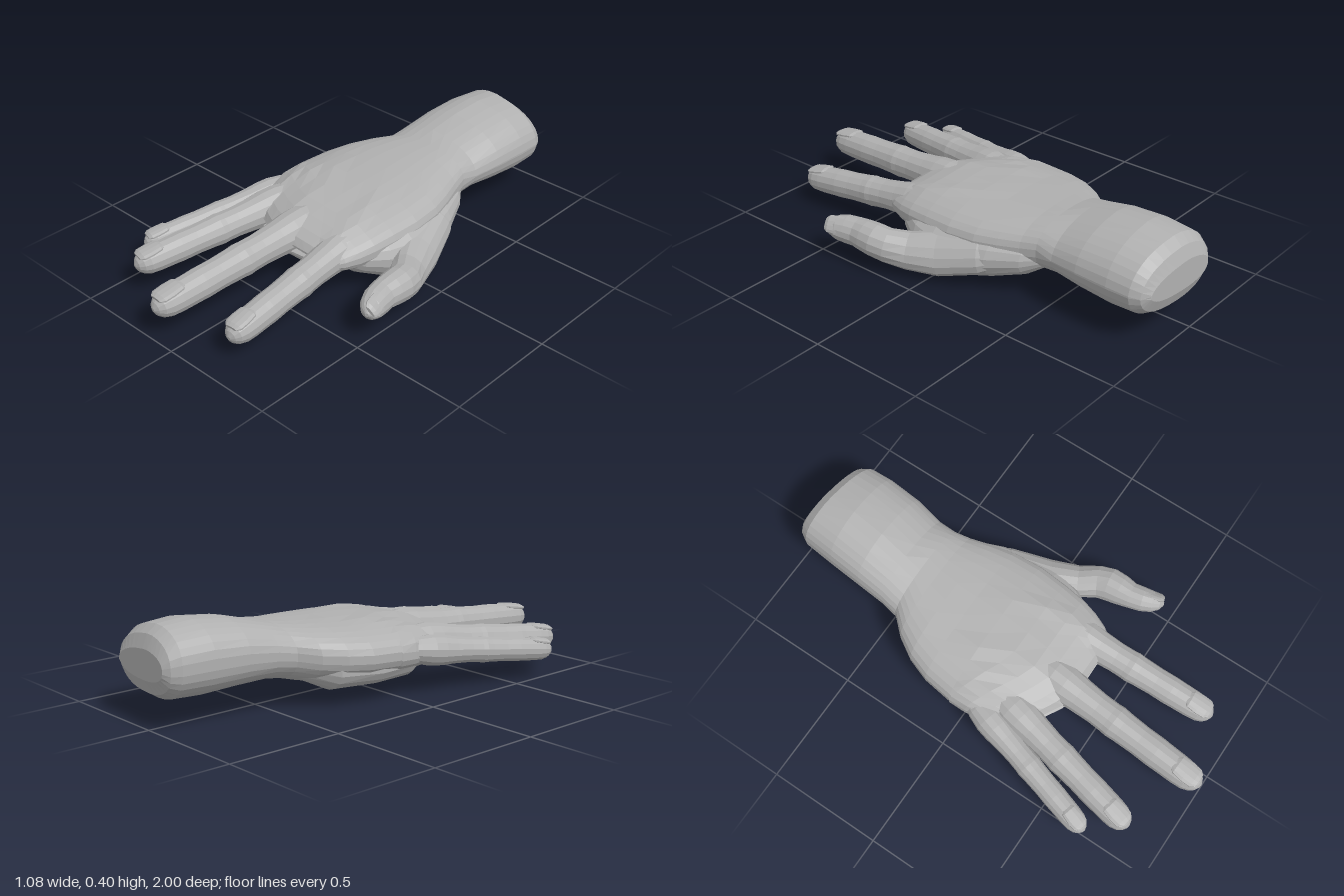
import * as THREE from 'three';

const skin = new THREE.MeshStandardMaterial({ color: 0xb0b0b0 });
skin.name = 'grey skin';
const UP = new THREE.Vector3(0, 1, 0);

// Faceted skin over cross-sections [x, y, z, half width, half height]
function loft(name, rows, { sides = 14, up = UP, power = 2, straight = false, warp } = {}) {
  const pos = [], index = [];
  const centres = rows.map(r => new THREE.Vector3(r[0], r[1], r[2]));
  rows.forEach(([, , , w, h], i) => {
    const t = straight ? new THREE.Vector3(0, 0, 1)
      : centres[Math.min(i + 1, rows.length - 1)].clone().sub(centres[Math.max(i - 1, 0)]).normalize();
    const side = up.clone().cross(t).normalize();
    const top = t.clone().cross(side);
    for (let j = 0; j < sides; j++) {
      const a = (j + 0.5) / sides * Math.PI * 2, c = Math.cos(a), s = Math.sin(a);
      const p = centres[i].clone()
        .addScaledVector(side, w * Math.sign(c) * Math.abs(c) ** (2 / power))
        .addScaledVector(top, h * Math.sign(s) * Math.abs(s) ** (2 / power));
      if (warp) warp(p);
      pos.push(p.x, p.y, p.z);
    }
  });
  const n = rows.length;
  for (let i = 0; i < n - 1; i++) for (let j = 0; j < sides; j++) {
    const a = i * sides + j, b = i * sides + (j + 1) % sides;
    index.push(a, b, a + sides, b, b + sides, a + sides);
  }
  // Close both ends
  for (let j = 1; j < sides - 1; j++) {
    const e = (n - 1) * sides;
    index.push(0, j + 1, j, e, e + j, e + j + 1);
  }
  const indexed = new THREE.BufferGeometry();
  indexed.setAttribute('position', new THREE.Float32BufferAttribute(pos, 3));
  indexed.setIndex(index);
  const geo = indexed.toNonIndexed();
  geo.computeVertexNormals();
  const mesh = new THREE.Mesh(geo, skin);
  mesh.name = name;
  return mesh;
}

// Slim domed nail between two points
function nail(name, a, b, width, up) {
  const steps = [[0, 0.6, 0.5], [0.12, 0.9, 1], [0.5, 1, 1], [0.85, 0.95, 1], [1, 0.65, 0.5]];
  return loft(name, steps.map(([t, w, h]) => {
    const p = a.clone().lerp(b, t);
    return [p.x, p.y, p.z, width * w, 0.013 * h];
  }), { sides: 12, up });
}

// Position along finger, thickness: knuckle, two joints, rounded tip
const FINGER = [[0, 0.75], [0.08, 1.1], [0.17, 1.28], [0.24, 1.25], [0.32, 1.12], [0.42, 1.03], [0.49, 1.04],
  [0.52, 1.08], [0.56, 1.03], [0.66, 0.98], [0.75, 1], [0.78, 0.98], [0.88, 0.95], [0.93, 0.89],
  [0.965, 0.72], [0.988, 0.45], [1, 0.12]];

function finger(name, base, tip, r) {
  const a = new THREE.Vector3(...base), b = new THREE.Vector3(...tip);
  const group = new THREE.Group();
  group.name = name;
  group.add(loft(name + 'Flesh', FINGER.map(([t, s]) => {
    const p = a.clone().lerp(b, t);
    return [p.x, p.y, p.z, r * s, r * s];
  })));
  const from = a.clone().lerp(b, 0.85), to = a.clone().lerp(b, 0.982);
  from.y += r * 0.83;
  to.y += r * 0.64;
  group.add(nail(name + 'Nail', from, to, r * 0.72, UP));
  return group;
}

export function createModel() {
  const hand = new THREE.Group();
  hand.name = 'hand';

  // Forearm, wrist and palm: z, right edge, left edge, bottom, top
  const body = [
    [-0.982, -0.1, 0.24, 0.185, 0.31], [-0.96, -0.128, 0.272, 0.13, 0.365], [-0.92, -0.15, 0.29, 0.105, 0.397],
    [-0.8, -0.165, 0.292, 0.1, 0.407], [-0.65, -0.178, 0.28, 0.11, 0.39], [-0.52, -0.187, 0.255, 0.118, 0.357],
    [-0.44, -0.2, 0.248, 0.11, 0.337], [-0.37, -0.265, 0.265, 0.095, 0.33], [-0.28, -0.32, 0.295, 0.085, 0.325],
    [-0.18, -0.355, 0.32, 0.078, 0.318], [-0.05, -0.373, 0.33, 0.075, 0.312], [0.08, -0.376, 0.32, 0.075, 0.303],
    [0.18, -0.375, 0.307, 0.078, 0.29], [0.25, -0.365, 0.288, 0.085, 0.272], [0.31, -0.345, 0.262, 0.1, 0.25],
    [0.35, -0.32, 0.235, 0.122, 0.225], [0.37, -0.29, 0.21, 0.15, 0.195],
  ];
  const tendons = [[-0.36, -0.05], [-0.27, -0.02], [-0.05, 0.03], [0.18, 0.08]];
  hand.add(loft('forearmAndPalm', body.map(([z, l, r, b, t]) =>
    [(l + r) / 2, (b + t) / 2, z, (r - l) / 2, (t - b) / 2]), {
    sides: 32, power: 2.4, straight: true,
    warp(p) {
      const front = THREE.MathUtils.smoothstep(p.z, -0.25, 0.2);
      // Tendons fan out over the back of the hand
      if (p.y > 0.22) for (const [x1, x0] of tendons) {
        const d = (p.x - THREE.MathUtils.lerp(x0, x1, front)) / 0.04;
        p.y += 0.012 * front * Math.exp(-d * d);
      }
      // Forearm slopes down on the thumb side
      if (p.z < -0.5 && p.y > 0.25) p.y -= 0.13 * Math.max(0, p.x - 0.02);
      // Slanted cut end, and knuckles stepping back towards the little finger
      if (p.z < -0.85) p.z += 0.09 * (p.x - 0.08);
      if (p.z > 0) p.z -= front * 0.55 * Math.max(0, -p.x - 0.1);
    },
  }));

  // Fleshy pads under the palm
  hand.add(loft('thumbPad', [
    [0.19, 0.18, -0.46, 0.03, 0.03], [0.2, 0.165, -0.38, 0.08, 0.07], [0.215, 0.145, -0.25, 0.125, 0.095],
    [0.23, 0.122, -0.1, 0.15, 0.114], [0.235, 0.118, 0.01, 0.15, 0.117], [0.225, 0.13, 0.12, 0.125, 0.1],
    [0.2, 0.15, 0.22, 0.09, 0.07], [0.19, 0.16, 0.28, 0.03, 0.03],
  ], { straight: true, sides: 16 }));
  hand.add(loft('heelPad', [
    [-0.13, 0.18, -0.42, 0.04, 0.05], [-0.2, 0.155, -0.3, 0.1, 0.085], [-0.23, 0.148, -0.12, 0.12, 0.08],
    [-0.25, 0.15, 0.05, 0.1, 0.075], [-0.26, 0.16, 0.15, 0.04, 0.04],
  ], { straight: true, sides: 16 }));

  // Four fingers
  hand.add(finger('littleFinger', [-0.312, 0.195, 0.02], [-0.505, 0.12, 0.705], 0.051));
  hand.add(finger('ringFinger', [-0.225, 0.205, 0.06], [-0.393, 0.132, 0.845], 0.062));
  hand.add(finger('middleFinger', [-0.035, 0.212, 0.1], [-0.09, 0.152, 1.0], 0.066));
  hand.add(finger('indexFinger', [0.165, 0.205, 0.08], [0.204, 0.108, 0.885], 0.062));

  // Thumb, rolled so its nail faces outwards
  const thumb = new THREE.Group();
  thumb.name = 'thumb';
  const out = new THREE.Vector3(0.75, 0.65, 0).normalize();
  thumb.add(loft('thumbFlesh', [
    [0.24, 0.17, -0.34, 0.03, 0.03], [0.285, 0.15, -0.2, 0.085, 0.065], [0.345, 0.115, -0.03, 0.095, 0.07],
    [0.402, 0.108, 0.09, 0.08, 0.066], [0.445, 0.122, 0.17, 0.072, 0.07], [0.457, 0.132, 0.22, 0.072, 0.072],
    [0.46, 0.135, 0.27, 0.068, 0.066], [0.463, 0.137, 0.32, 0.062, 0.055], [0.475, 0.138, 0.37, 0.06, 0.052],
    [0.489, 0.138, 0.41, 0.052, 0.045], [0.501, 0.138, 0.44, 0.035, 0.03], [0.508, 0.138, 0.457, 0.008, 0.008],
  ], { up: out }));
  thumb.add(nail('thumbNail', new THREE.Vector3(0.494, 0.165, 0.345), new THREE.Vector3(0.52, 0.155, 0.45), 0.04, out));
  hand.add(thumb);

  return hand;
}
